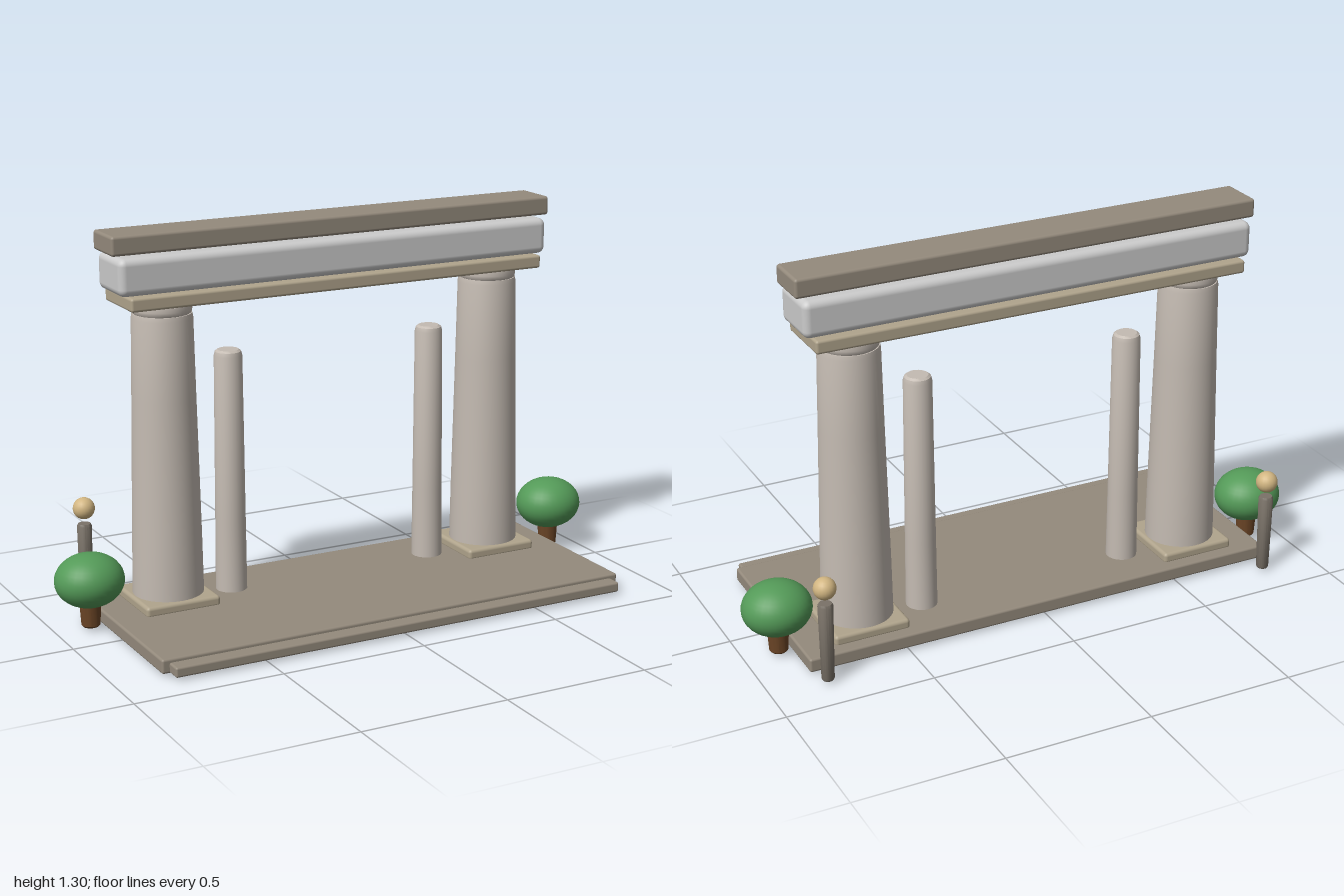
import * as THREE from 'three';
import { RoundedBoxGeometry } from 'three/addons/geometries/RoundedBoxGeometry.js';
import { toCreasedNormals } from 'three/addons/utils/BufferGeometryUtils.js';

const mat = (color) => new THREE.MeshStandardMaterial({ color });
const stone = mat(0x948a7c);
const paleStone = mat(0xc4bbb2);
const whiteStone = mat(0xcccccc);
const sandStone = mat(0xb0a48c);
const darkStone = mat(0x7a7268);
const leaf = mat(0x549a58);
const bark = mat(0x6b4526);
const lampGlass = mat(0xd2b682);
const path = mat(0x8a7650);

const AXIS_Z = -0.14; // the line the gate stands on

export function createModel() {
  const model = new THREE.Group();

  const add = (parent, name, geometry, material, x = 0, y = 0, z = 0) => {
    const mesh = new THREE.Mesh(geometry, material);
    mesh.name = name;
    mesh.position.set(x, y, z);
    parent.add(mesh);
    return mesh;
  };

  // Rounded slab given by its width, its y range and its z range
  const slab = (parent, name, material, width, [y0, y1], [z0, z1], radius, x = 0) =>
    add(parent, name, new RoundedBoxGeometry(width, y1 - y0, z1 - z0, 3, radius),
      material, x, (y0 + y1) / 2, (z0 + z1) / 2);

  // Turned solid from [radius, height] pairs, with sharp edges kept
  const turned = (parent, name, material, profile, x, z, sides = 32) => {
    const points = profile.map(([r, y]) => new THREE.Vector2(r, y));
    const geometry = toCreasedNormals(new THREE.LatheGeometry(points, sides), 0.6);
    return add(parent, name, geometry, material, x, 0, z);
  };

  // Ground slab, front step and the path inlay
  slab(model, 'platform', stone, 1.69, [0.01, 0.058], [-0.315, 0.355], 0.008);
  slab(model, 'frontStep', stone, 1.64, [0.011, 0.045], [0.2, 0.405], 0.007);
  add(model, 'pathInlay', new THREE.BoxGeometry(0.77, 0.01, 0.24), path, 0, 0.0125, 0.11);

  // Beams across the top
  const lintel = new THREE.Group();
  lintel.name = 'lintel';
  model.add(lintel);
  slab(lintel, 'lowerBeam', sandStone, 1.514, [1.062, 1.107], [-0.25, -0.03], 0.009);
  slab(lintel, 'middleBeam', whiteStone, 1.574, [1.108, 1.23], [-0.236, -0.044], 0.024);
  slab(lintel, 'topBeam', stone, 1.61, [1.238, 1.302], [-0.218, -0.062], 0.01);

  for (const side of [1, -1]) {
    const half = new THREE.Group();
    half.name = side > 0 ? 'leftSide' : 'rightSide';
    model.add(half);

    // Main column with plinth, neck ring and footing
    const cx = side * 0.608;
    slab(half, 'columnPlinth', sandStone, 0.262, [0.05, 0.088], [-0.271, -0.009], 0.012, cx);
    turned(half, 'column', paleStone, [
      [0, 0.07], [0.118, 0.07], [0.118, 0.09], [0.115, 0.28], [0.105, 0.75],
      [0.1, 1.015], [0.097, 1.03], [0, 1.032]], cx, AXIS_Z, 40);
    turned(half, 'columnNeck', paleStone, [
      [0, 1.025], [0.088, 1.025], [0.095, 1.032], [0.098, 1.045],
      [0.096, 1.06], [0.09, 1.066], [0, 1.066]], cx, AXIS_Z, 40);
    turned(half, 'columnFooting', paleStone, [
      [0, 0], [0.05, 0.002], [0.085, 0.006], [0.105, 0.014], [0.105, 0.03], [0, 0.03]], cx, AXIS_Z);

    // Slim inner post
    turned(half, 'innerPost', paleStone, [
      [0, 0.04], [0.053, 0.04], [0.051, 0.3], [0.047, 0.862],
      [0.043, 0.876], [0.035, 0.882], [0, 0.882]], side * 0.378, AXIS_Z, 24);

    // Lamp behind the gate
    const lx = side * 0.808;
    turned(half, 'lampPost', darkStone, [
      [0, 0.01], [0.018, 0.01], [0.021, 0.016], [0.025, 0.276],
      [0.021, 0.284], [0, 0.284]], lx, -0.37, 20);
    add(half, 'lampGlobe', new THREE.SphereGeometry(0.037, 20, 14), lampGlass, lx, 0.337, -0.37);

    // Clipped tree at the end
    const tx = side * 0.884;
    turned(half, 'treeTrunk', bark, [
      [0, 0.012], [0.026, 0.012], [0.031, 0.018], [0.036, 0.1], [0, 0.13]], tx, AXIS_Z, 20);
    const crown = add(half, 'treeCrown', new THREE.SphereGeometry(1, 32, 20), leaf, tx, 0.17, AXIS_Z);
    crown.scale.set(0.116, 0.09, 0.108);
  }

  return model;
}
